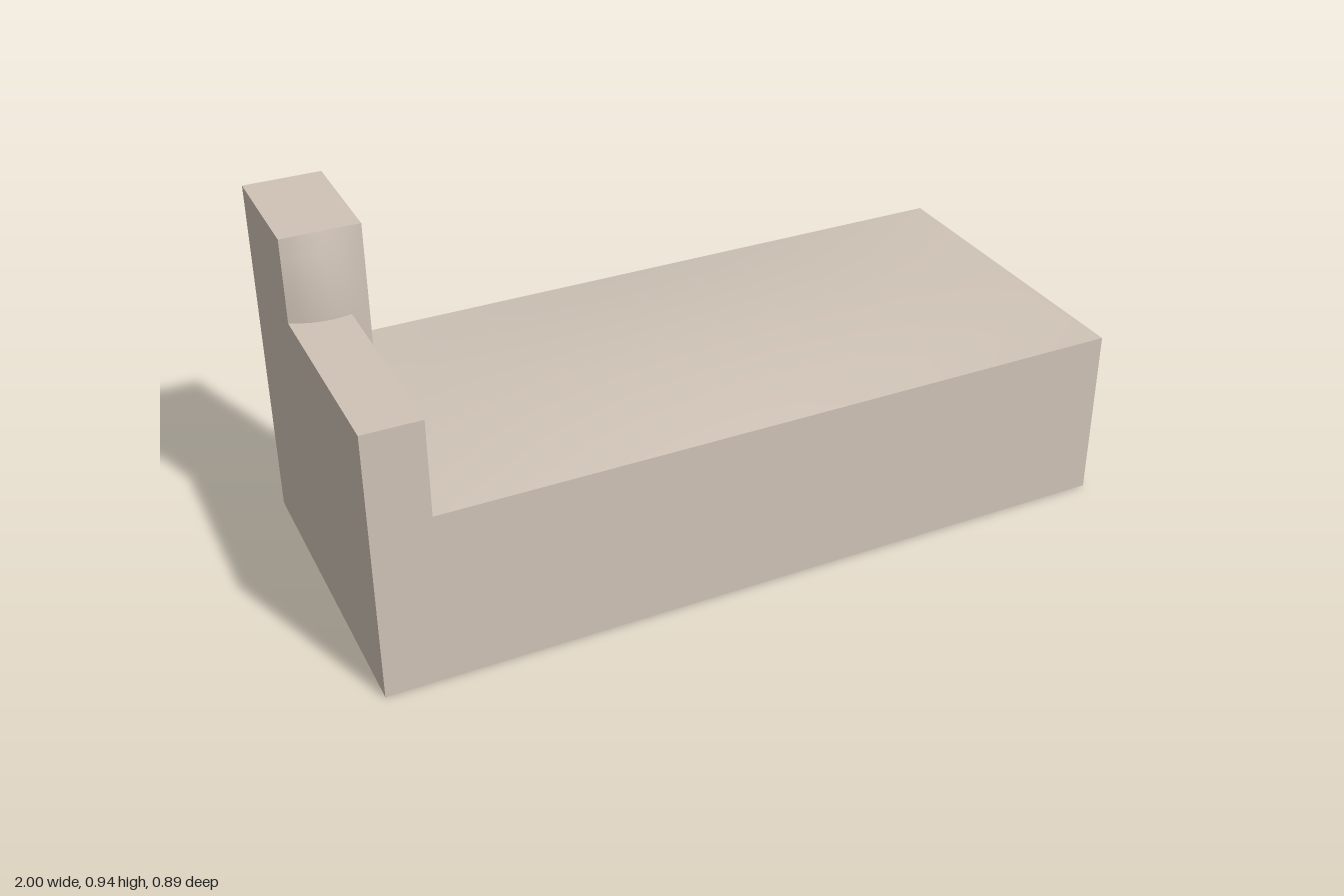
import * as THREE from 'three';

const W = 2, D = 0.886, SEAT = 0.467;
const fabric = new THREE.MeshStandardMaterial({ color: 0xcfc3b6 });
const wood = new THREE.MeshStandardMaterial({ color: 0x9a7046 });

// Box given by its minimum and maximum corners
function block(name, [x0, y0, z0], [x1, y1, z1]) {
  const geo = new THREE.BoxGeometry(x1 - x0, y1 - y0, z1 - z0);
  geo.translate((x0 + x1) / 2, (y0 + y1) / 2, (z0 + z1) / 2);
  const mesh = new THREE.Mesh(geo, fabric);
  mesh.name = name;
  return mesh;
}

// Rectangular panel facing +z whose middle swells out and whose rim stays flat
function pillow(name, w, h, rise) {
  const geo = new THREE.PlaneGeometry(w, h, 8, 8);
  const p = geo.attributes.position;
  for (let i = 0; i < p.count; i++) {
    const u = (2 * p.getX(i)) / w, v = (2 * p.getY(i)) / h;
    p.setZ(i, rise * (1 - u * u) * (1 - v * v));
  }
  geo.computeVertexNormals();
  const mesh = new THREE.Mesh(geo, fabric);
  mesh.name = name;
  return mesh;
}

export function createModel() {
  const group = new THREE.Group();
  group.name = 'daybed';
  const x = W / 2, z = D / 2, split = -0.11;

  // Upholstered base and its gently domed seat
  group.add(block('base', [-x, 0.001, -z], [x, SEAT, z]));
  const seat = pillow('seat', W, D, 0.033);
  seat.rotation.x = -Math.PI / 2;
  seat.position.y = SEAT;
  group.add(seat);

  // Low arm in front, tall headrest behind it
  group.add(block('arm', [-x, SEAT, split], [-0.85, 0.723, z]));
  group.add(block('headrest', [-x, SEAT, -z], [-0.8, 0.945, split]));

  // Swelling front face of the headrest
  const cushion = pillow('headrestCushion', 0.2, 0.445, 0.027);
  cushion.position.set(-0.9, 0.7225, split + 0.0005);
  group.add(cushion);

  // Small round feet set into the underside
  for (const sx of [-1, 1]) for (const sz of [-1, 1]) {
    const foot = new THREE.Mesh(new THREE.CylinderGeometry(0.047, 0.047, 0.04, 24), wood);
    foot.name = 'foot';
    foot.position.set(sx * 0.915, 0.02, sz * 0.39);
    group.add(foot);
  }
  return group;
}
